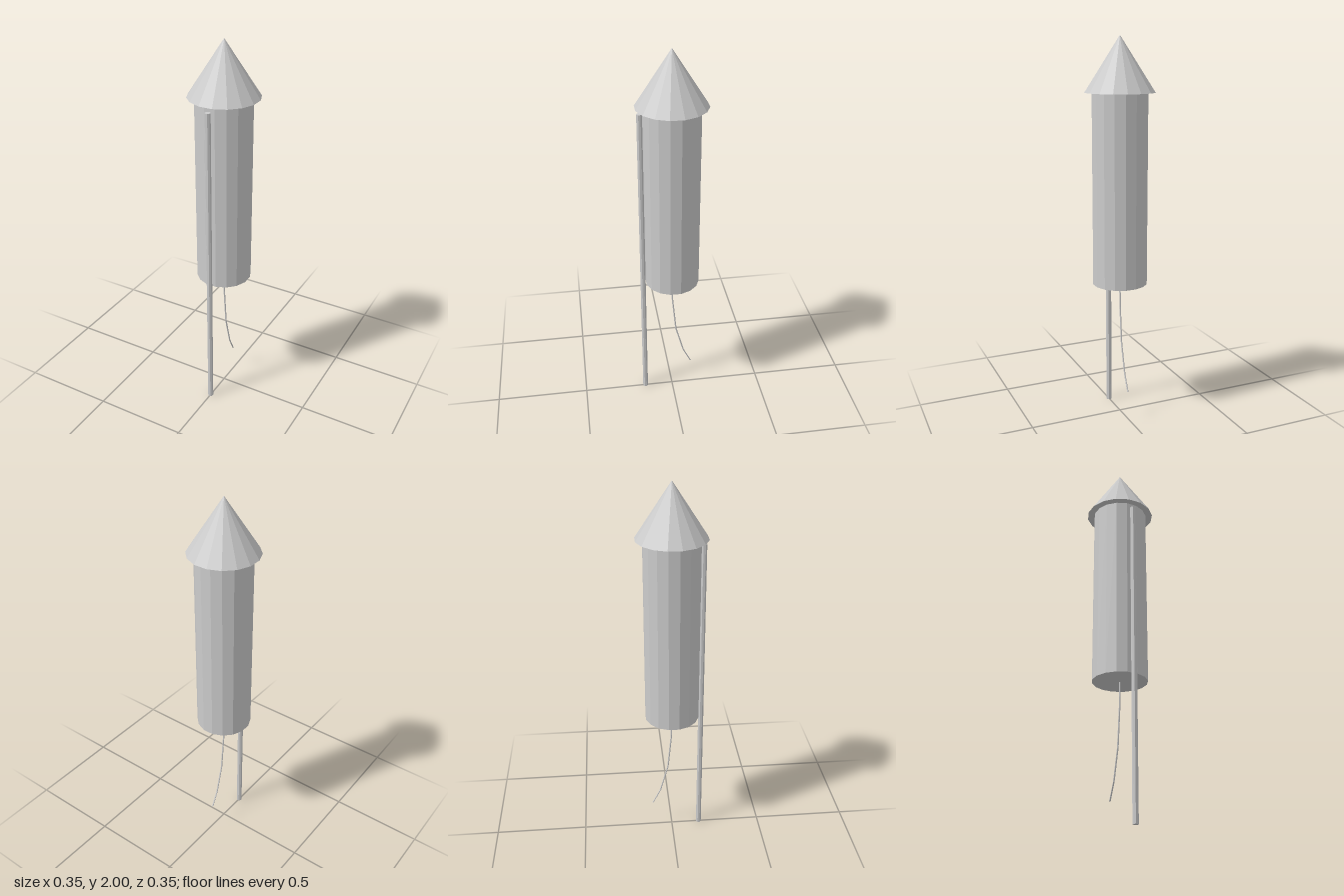
import * as THREE from 'three';

const SIDES = 16;

export function createModel() {
  const group = new THREE.Group();
  const material = new THREE.MeshStandardMaterial({ color: 0xcccccc, flatShading: true });

  const add = (name, geometry, y, z = 0) => {
    const mesh = new THREE.Mesh(geometry, material);
    mesh.name = name;
    mesh.position.set(0, y, z);
    group.add(mesh);
    return mesh;
  };

  // Half a step of turn puts a flat side at the front
  const turn = Math.PI / SIDES;

  // Nose cone with an overhanging rim
  add('noseCone', new THREE.ConeGeometry(0.18, 0.277, SIDES).rotateY(turn), 1.8615);

  // Paper tube
  add('bodyTube', new THREE.CylinderGeometry(0.143, 0.143, 0.988, SIDES).rotateY(turn), 1.229);

  // Guide stick along the front
  add('guideStick', new THREE.CylinderGeometry(0.0145, 0.0145, 1.692, 8).rotateY(Math.PI / 8), 0.846, 0.156);

  // Fuse: a thin rod whose rings are moved onto a curve bending to the back
  const path = [[0.74, 0], [0.6, -0.003], [0.4, -0.022], [0.24, -0.065], [0.155, -0.107]];
  const steps = path.length - 1;
  const fuse = new THREE.CylinderGeometry(0.004, 0.004, steps, 6, steps);
  const pos = fuse.attributes.position;
  for (let i = 0; i < pos.count; i++) {
    const [y, z] = path[Math.round(steps / 2 - pos.getY(i))];
    pos.setY(i, y);
    pos.setZ(i, pos.getZ(i) + z);
  }
  fuse.computeVertexNormals();
  add('fuse', fuse, 0);

  return group;
}
